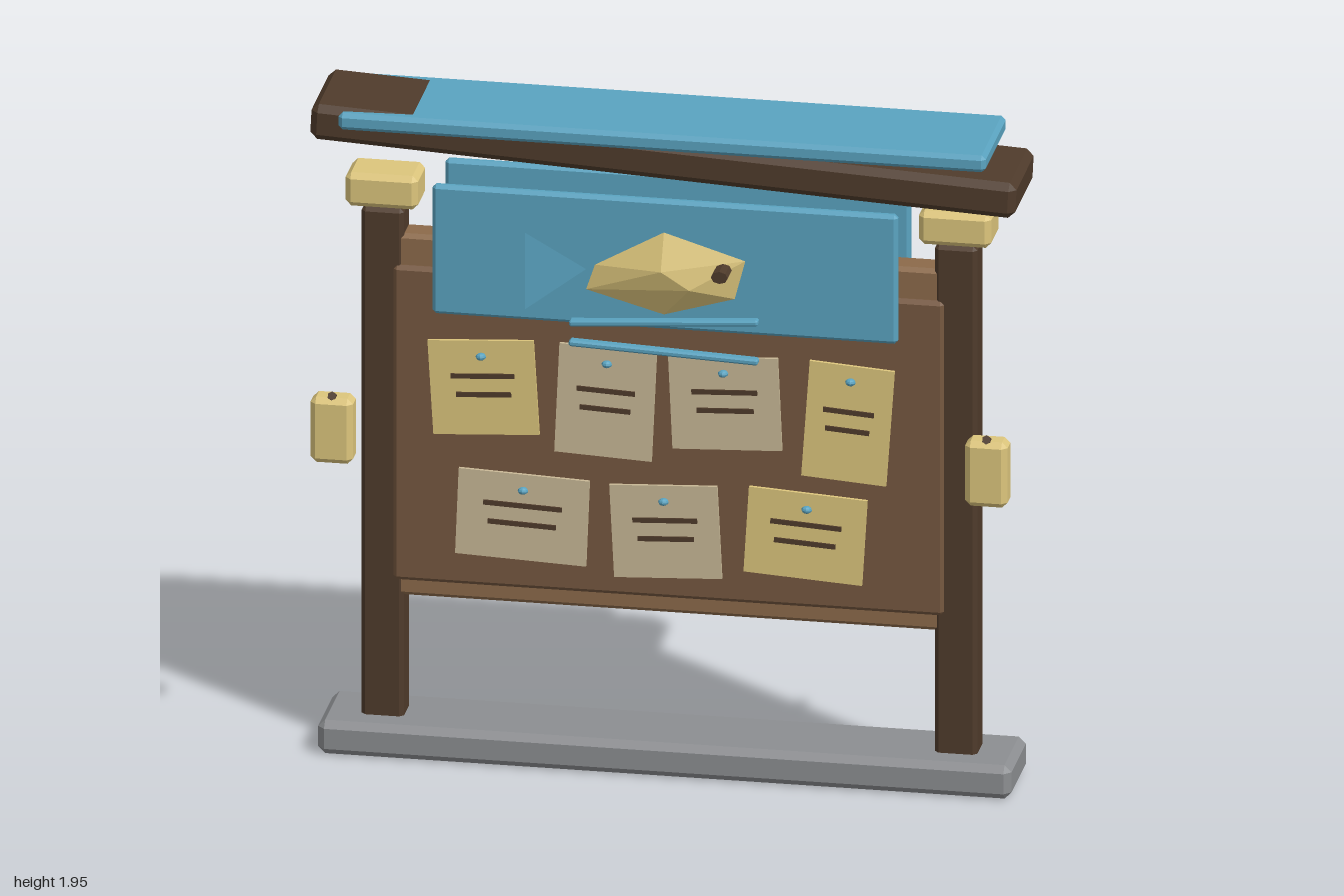
import * as THREE from 'three';
import { ConvexGeometry } from 'three/addons/geometries/ConvexGeometry.js';

const paint = (color) => new THREE.MeshStandardMaterial({ color, flatShading: true });
const DARK = paint(0x4f3b2b), BOARD = paint(0x765840), TRIM = paint(0x8c6a4a), BLUE = paint(0x5aa3c0);
const GOLD = paint(0xdcc57c), PAPER = paint(0xc8b896), STONE = paint(0x8c8e91);

// Box with flat chamfers on every edge
function chamferBox(w, h, d, c) {
  const x = w / 2, y = h / 2, z = d / 2, pts = [];
  for (const i of [-1, 1]) for (const j of [-1, 1]) for (const k of [-1, 1]) {
    pts.push(new THREE.Vector3(i * x, j * (y - c), k * (z - c)));
    pts.push(new THREE.Vector3(i * (x - c), j * y, k * (z - c)));
    pts.push(new THREE.Vector3(i * (x - c), j * (y - c), k * z));
  }
  return new ConvexGeometry(pts);
}

function add(parent, name, geometry, material, x = 0, y = 0, z = 0, rotZ = 0) {
  const mesh = new THREE.Mesh(geometry, material);
  mesh.name = name;
  mesh.position.set(x, y, z);
  mesh.rotation.z = rotZ;
  parent.add(mesh);
  return mesh;
}

// Straight round bar between two points
function addRod(parent, name, a, b, radius, material) {
  const dir = b.clone().sub(a);
  const rod = add(parent, name, new THREE.CylinderGeometry(radius, radius, dir.length(), 6), material);
  rod.position.copy(a).add(b).multiplyScalar(0.5);
  rod.quaternion.setFromUnitVectors(new THREE.Vector3(0, 1, 0), dir.normalize());
}

// x, y, width, height, tilt, paper
const NOTES = [
  [-0.515, 1.12, 0.3, 0.28, 0.06, GOLD],
  [-0.17, 1.1, 0.275, 0.325, -0.045, PAPER],
  [0.168, 1.12, 0.31, 0.275, 0.045, PAPER],
  [0.515, 1.085, 0.24, 0.345, -0.07, GOLD],
  [-0.405, 0.74, 0.37, 0.255, -0.04, PAPER],
  [0, 0.725, 0.305, 0.275, 0.05, PAPER],
  [0.395, 0.74, 0.335, 0.255, -0.06, GOLD],
];

function addNote(parent, side, [x, y, w, h, tilt, paper]) {
  const note = new THREE.Group();
  note.name = 'note';
  note.position.set(x, y, side * 0.095);
  note.rotation.z = tilt;
  parent.add(note);
  add(note, 'notePaper', new THREE.BoxGeometry(w, h, 0.01), paper);
  add(note, 'writtenLine', new THREE.BoxGeometry(w * 0.6, 0.014, 0.008), DARK, 0, 0.035, side * 0.006);
  add(note, 'writtenLine', new THREE.BoxGeometry(w * 0.52, 0.014, 0.008), DARK, 0, -0.02, side * 0.006);
  const pin = add(note, 'pin', new THREE.SphereGeometry(0.015, 8, 6), BLUE, 0, h / 2 - 0.045, side * 0.012);
  pin.scale.y = 0.7;
}

// Faceted fish body: hexagonal rim with a short raised ridge
function fishBody() {
  const rim = [[-0.22, 1.445], [-0.195, 1.52], [0, 1.63], [0.23, 1.56], [0.2, 1.445], [0, 1.385]];
  const pts = rim.map(([x, y]) => new THREE.Vector3(x, y, 0));
  for (const s of [-1, 1]) {
    pts.push(new THREE.Vector3(0, 1.53, s * 0.05), new THREE.Vector3(0.08, 1.48, s * 0.05));
  }
  return new ConvexGeometry(pts);
}

// Three-sided cone, point towards the body
function fishTail() {
  const pts = [new THREE.Vector3(0.165, 0, 0)];
  for (const [y, z] of [[0.115, 0.045], [-0.115, 0.045], [0, -0.09]]) pts.push(new THREE.Vector3(0, y, z));
  return new ConvexGeometry(pts);
}

export function createModel() {
  const model = new THREE.Group();
  model.name = 'noticeBoard';

  // Base, board and rails
  add(model, 'base', chamferBox(1.96, 0.1, 0.26, 0.02), STONE, 0, 0.05, 0);
  add(model, 'board', chamferBox(1.56, 0.94, 0.12, 0.012), BOARD, 0, 0.98, 0);
  add(model, 'topRail', chamferBox(1.54, 0.11, 0.09, 0.012), TRIM, 0, 1.485, 0);
  add(model, 'bottomRail', chamferBox(1.54, 0.1, 0.09, 0.012), TRIM, 0, 0.51, 0);

  // Slanting roof beam with a level cover strip
  add(model, 'roofBeam', chamferBox(1.995, 0.105, 0.305, 0.02), DARK, 0, 1.847, 0, -0.05);
  add(model, 'roofCover', chamferBox(1.83, 0.05, 0.33, 0.012), BLUE, 0, 1.91, 0);

  // Posts, caps and hanging lanterns
  for (const s of [-1, 1]) {
    add(model, 'post', chamferBox(0.12, 1.53, 0.1, 0.012), DARK, s * 0.81, 0.85, 0);
    add(model, 'postCap', chamferBox(0.205, 0.1, 0.14, 0.016), GOLD, s * 0.81, 1.67, 0);
    add(model, 'lantern', chamferBox(0.12, 0.195, 0.075, 0.016), GOLD, s * 0.925, 1.0025, 0.178);
    addRod(model, 'lanternArm', new THREE.Vector3(s * 0.925, 1.105, 0.2),
      new THREE.Vector3(s * 0.925, 0.955, -0.035), 0.013, DARK);
  }

  // Sign, fish, waves and notes on both faces
  for (const s of [-1, 1]) {
    add(model, 'signPanel', chamferBox(1.315, 0.385, 0.03, 0.01), BLUE, 0, 1.5275, s * 0.099);
    add(model, 'fishBody', fishBody(), GOLD, 0, 0, s * 0.125);
    add(model, 'fishTail', fishTail(), BLUE, -0.385, 1.505, s * 0.125);
    const eye = add(model, 'fishEye', new THREE.CylinderGeometry(0.024, 0.024, 0.08, 8), DARK, 0.17, 1.535, s * 0.16);
    eye.rotation.x = Math.PI / 2;
    eye.scale.z = 0.75;
    add(model, 'wave', chamferBox(0.535, 0.018, 0.03, 0.005), BLUE, 0, 1.362, s * 0.125, 0.07);
    add(model, 'wave', chamferBox(0.535, 0.018, 0.03, 0.005), BLUE, 0, 1.274, s * 0.125, -0.04);
    NOTES.forEach((n) => addNote(model, s, n));
  }
  return model;
}
